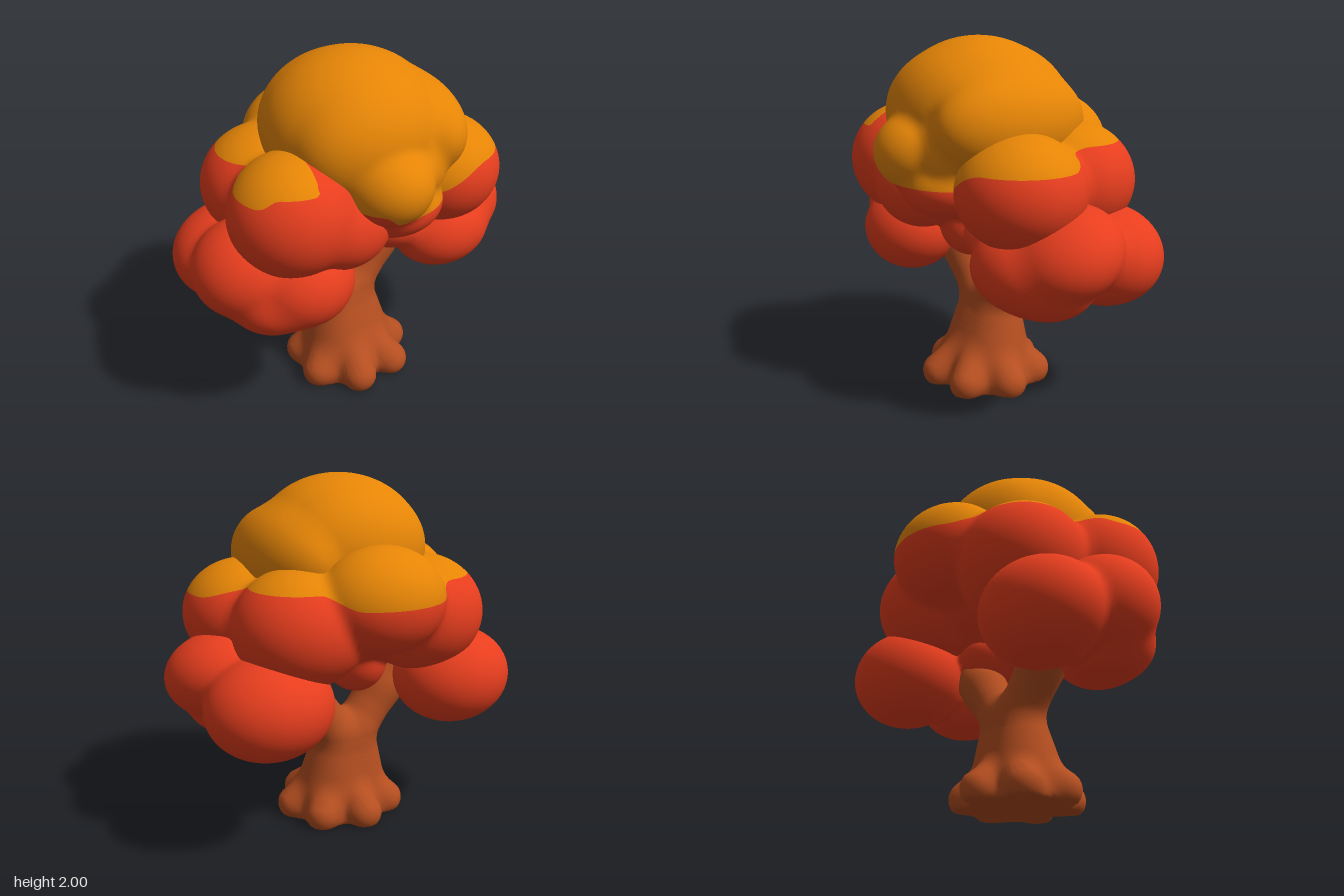
import * as THREE from 'three';
import { mergeVertices } from 'three/addons/utils/BufferGeometryUtils.js';

const red = new THREE.MeshStandardMaterial({ color: 0xe83e1e });
red.name = 'redLeaves';
const orange = new THREE.MeshStandardMaterial({ color: 0xe68506 });
orange.name = 'orangeLeaves';
const bark = new THREE.MeshStandardMaterial({ color: 0xb44e20 });
bark.name = 'bark';

const { lerp, clamp, smoothstep } = THREE.MathUtils;

// Distance to an ellipsoid, optionally tilted about x
function ellipsoid(x, y, z, rx, ry, rz, tilt = 0) {
  const c = Math.cos(tilt), s = Math.sin(tilt);
  return p => {
    const dx = p.x - x, dy = c * (p.y - y) + s * (p.z - z), dz = c * (p.z - z) - s * (p.y - y);
    const k0 = Math.hypot(dx / rx, dy / ry, dz / rz);
    const k1 = Math.hypot(dx / rx ** 2, dy / ry ** 2, dz / rz ** 2);
    return k0 * (k0 - 1) / Math.max(k1, 1e-6);
  };
}

// Distance to a limb with rounded ends, tapering from ra to rb
function limb(a, b, ra, rb) {
  const start = new THREE.Vector3(...a);
  const axis = new THREE.Vector3(...b).sub(start);
  const rel = new THREE.Vector3();
  return p => {
    rel.copy(p).sub(start);
    const t = clamp(rel.dot(axis) / axis.lengthSq(), 0, 1);
    return rel.addScaledVector(axis, -t).length() - lerp(ra, rb, t);
  };
}

// Softly melt several forms into one
const blend = (forms, k) => p => forms.reduce((d, form) => {
  const e = form(p), h = Math.max(k - Math.abs(d - e), 0) / k;
  return Math.min(d, e) - h * h * k / 4;
}, 10);

// Shrink-wrap a sphere around a form, towards its centre
function wrap(centre, form, columns, rows) {
  const geo = new THREE.SphereGeometry(1, columns, rows);
  geo.deleteAttribute('uv');
  geo.deleteAttribute('normal');
  const origin = new THREE.Vector3(...centre);
  const pos = geo.attributes.position;
  const dir = new THREE.Vector3(), p = new THREE.Vector3();
  for (let i = 0; i < pos.count; i++) {
    dir.fromBufferAttribute(pos, i);
    let t = 1.4;
    for (let step = 0; step < 90; step++) {
      const d = form(p.copy(origin).addScaledVector(dir, t));
      if (d < 0.0005) break;
      t = Math.max(t - 0.65 * d, 0.02);
    }
    pos.setXYZ(i, p.x, p.y, p.z);
  }
  const merged = mergeVertices(geo, 1e-5);
  merged.computeVertexNormals();
  return merged;
}

// Split the surface along the cut height: red below, orange above
function paintByHeight(geo, cut) {
  const points = Array.from(geo.attributes.position.array);
  const normals = Array.from(geo.attributes.normal.array);
  const index = geo.index.array;
  const above = v => points[3 * v + 1] - cut(points[3 * v], points[3 * v + 2]);
  const between = (a, b) => {
    const t = above(a) / (above(a) - above(b));
    for (const list of [points, normals]) {
      for (let k = 0; k < 3; k++) list.push(lerp(list[3 * a + k], list[3 * b + k], t));
    }
    return points.length / 3 - 1;
  };
  const faces = [[], []];
  for (let i = 0; i < index.length; i += 3) {
    const tri = [index[i], index[i + 1], index[i + 2]];
    const sides = tri.map(v => (above(v) > 0 ? 1 : 0));
    const sum = sides[0] + sides[1] + sides[2];
    if (sum % 3 === 0) {
      faces[sides[0]].push(...tri);
      continue;
    }
    const lone = sides.indexOf(sum === 1 ? 1 : 0);
    const [a, b, c] = [0, 1, 2].map(k => tri[(lone + k) % 3]);
    const ab = between(a, b), ac = between(a, c);
    faces[sides[lone]].push(a, ab, ac);
    faces[1 - sides[lone]].push(ab, b, c, ab, c, ac);
  }
  geo.setAttribute('position', new THREE.Float32BufferAttribute(points, 3));
  geo.setAttribute('normal', new THREE.Float32BufferAttribute(normals, 3));
  geo.setIndex([...faces[0], ...faces[1]]);
  geo.addGroup(0, faces[0].length, 0);
  geo.addGroup(faces[0].length, faces[1].length, 1);
}

function makeFoliage(name, centre, lobes, columns, rows, cut) {
  const geo = wrap(centre, blend(lobes.map(l => ellipsoid(...l)), 0.04), columns, rows);
  if (cut) paintByHeight(geo, cut);
  const mesh = new THREE.Mesh(geo, cut ? [red, orange] : red);
  mesh.name = name;
  return mesh;
}

// Forked, flaring trunk with seven roots, cut flat at the ground
function makeTrunk() {
  const forms = [
    limb([-0.08, 0.05, 0.055], [-0.085, 0.5, 0.01], 0.25, 0.13),
    limb([0.03, 0.05, 0.055], [0.025, 0.5, 0.01], 0.25, 0.13),
  ];
  for (const [base, bend, tip] of [[-0.08, -0.28, -0.47], [0.02, 0.22, 0.43]]) {
    forms.push(
      limb([base, 0.48, 0.01], [bend, 0.74, 0.01], 0.125, 0.125),
      limb([bend, 0.74, 0.01], [tip, 0.97, 0.01], 0.125, 0.12));
  }
  for (let i = 0; i < 7; i++) {
    const a = (28 / 360 + i / 7) * Math.PI * 2;
    forms.push(limb([-0.02, 0.25, 0.055],
      [-0.02 + 0.28 * Math.sin(a), 0.065, 0.06 + 0.275 * Math.cos(a)], 0.1, 0.1));
  }
  const solid = blend(forms, 0.05);
  const geo = wrap([-0.03, 0.33, 0.03], p => Math.max(solid(p), -p.y), 120, 100);
  const mesh = new THREE.Mesh(geo, bark);
  mesh.name = 'trunk';
  return mesh;
}

// Lobes are listed as centre, radii and tilt
const crownLobes = [
  [-0.035, 1.58, 0.09, 0.485, 0.415, 0.475],
  [-0.06, 1.58, 0.28, 0.43, 0.33, 0.285],
  [-0.02, 1.6, -0.11, 0.42, 0.32, 0.275],
  [0.27, 1.55, 0.12, 0.27, 0.295, 0.47],
  [-0.08, 1.4, 0.45, 0.24, 0.22, 0.26],
  [0.12, 1.42, 0.35, 0.22, 0.24, 0.24],
  [0.04, 1.22, 0.36, 0.28, 0.18, 0.26],
];
const crownCut = x => 1.24 + 0.08 * (1 - smoothstep(x, -0.24, -0.12));

const middleLobes = [
  [0, 1.22, 0, 0.58, 0.27, 0.43],
  [0, 1.37, -0.41, 0.36, 0.29, 0.305],
  [-0.51, 1.27, 0.23, 0.345, 0.33, 0.335],
  [-0.27, 1.17, 0.31, 0.28, 0.25, 0.26],
  [-0.38, 1.23, -0.21, 0.37, 0.33, 0.36],
  [0.49, 1.24, 0.24, 0.34, 0.305, 0.345],
  [0.37, 1.23, -0.21, 0.37, 0.325, 0.36],
  [-0.12, 0.94, 0.05, 0.18, 0.21, 0.22],
];
function middleCut(x, z) {
  const back = 1.38 + 0.07 * smoothstep(Math.abs(x), 0.25, 0.4);
  const front = x > 0
    ? 1.21 + 0.16 * smoothstep(x, 0.15, 0.55)
    : 1.43 + 0.05 * smoothstep(x, -0.8, -0.7) + 0.2 * smoothstep(x, -0.53, -0.45);
  return lerp(back, front, smoothstep(z, -0.12, 0.15));
}

const lowerRightLobes = [
  [-0.7, 0.93, 0.06, 0.3, 0.27, 0.29],
  [-0.48, 0.86, 0.25, 0.29, 0.25, 0.27],
  [-0.6, 0.78, 0.16, 0.27, 0.205, 0.27],
  [-0.59, 0.84, -0.265, 0.35, 0.28, 0.31],
];
const lowerLeftLobes = [
  [0.69, 0.94, 0.12, 0.31, 0.24, 0.31, 0.35],
  [0.52, 0.84, 0.25, 0.31, 0.23, 0.25],
  [0.6, 0.77, 0.16, 0.27, 0.195, 0.26],
  [0.59, 0.84, -0.265, 0.35, 0.28, 0.31],
  [0.22, 0.94, 0.1, 0.22, 0.17, 0.25],
];

export function createModel() {
  const tree = new THREE.Group();
  tree.name = 'tree';
  tree.add(
    makeTrunk(),
    makeFoliage('crownFoliage', [0, 1.48, 0.1], crownLobes, 144, 96, crownCut),
    makeFoliage('middleFoliage', [0, 1.25, 0], middleLobes, 160, 96, middleCut),
    makeFoliage('lowerRightFoliage', [-0.55, 0.87, 0], lowerRightLobes, 96, 64),
    makeFoliage('lowerLeftFoliage', [0.55, 0.87, 0], lowerLeftLobes, 96, 64),
  );
  return tree;
}
